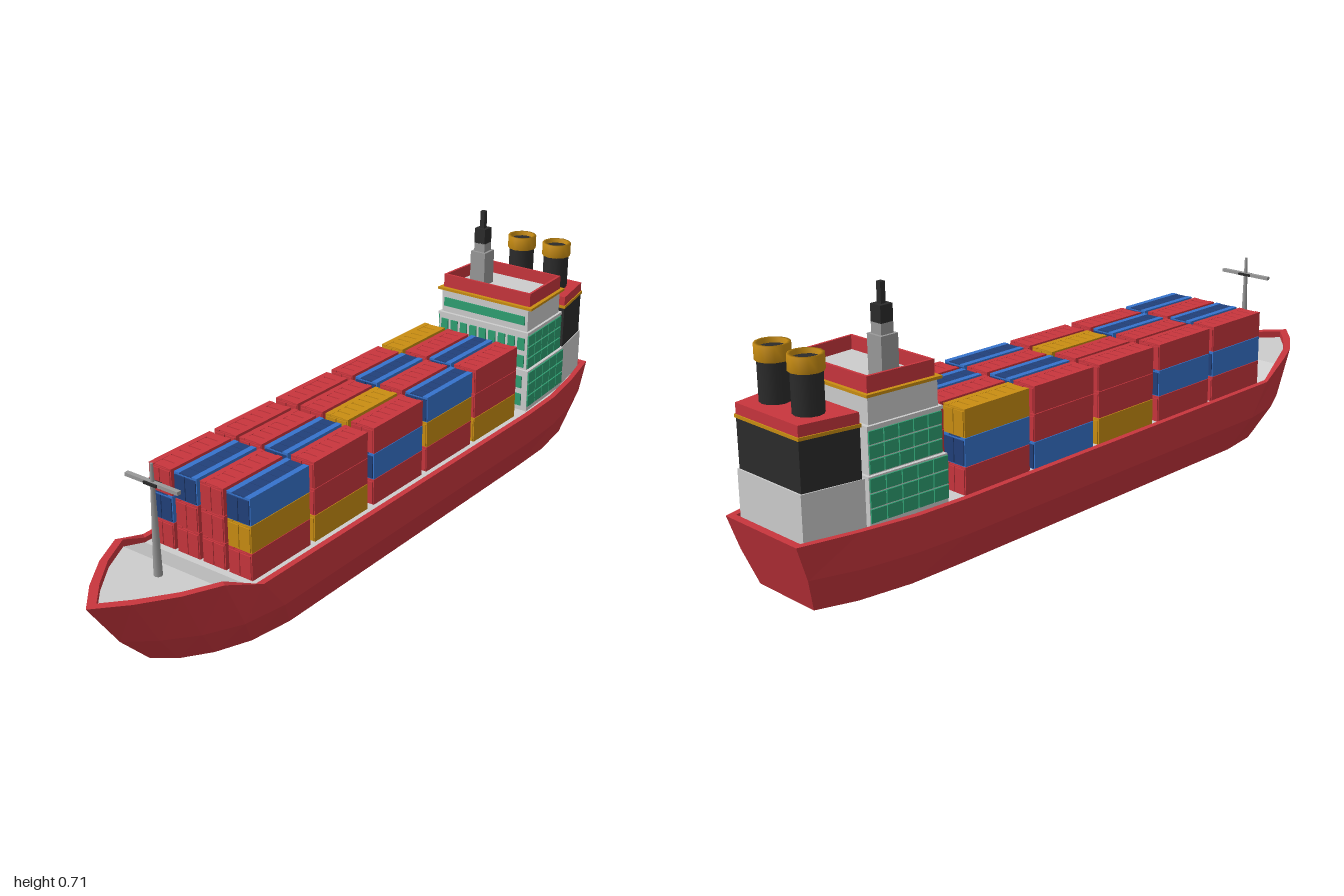
import * as THREE from 'three';

const mat = (name, color) => Object.assign(new THREE.MeshStandardMaterial({ color }), { name });
const red = mat('red', 0xc8353d), charcoal = mat('charcoal', 0x2b2b2b), amber = mat('amber', 0xc98d12);
const green = mat('green', 0x2ea072), white = mat('paleGrey', 0xcdcdcd), grey = mat('grey', 0x999999);
const blue = mat('blue', 0x3573cc), navy = mat('navy', 0x21407a);

function add(parent, name, geo, material, x = 0, y = 0, z = 0) {
  const m = new THREE.Mesh(geo, material);
  m.name = name;
  m.position.set(x, y, z);
  parent.add(m);
  return m;
}
const box = (p, name, m, w, h, d, x, y, z) => add(p, name, new THREE.BoxGeometry(w, h, d), m, x, y, z);

// Upright prism with a trapezoid plan: half widths at its front and back
function prism(p, name, m, wf, wb, zf, zb, y0, y1, wall = 0) {
  const plan = (C, t) => {
    const s = new C();
    s.moveTo(-wf + t, -zf + t); s.lineTo(wf - t, -zf + t);
    s.lineTo(wb - t, -zb - t); s.lineTo(-wb + t, -zb - t);
    s.closePath();
    return s;
  };
  const shape = plan(THREE.Shape, 0);
  if (wall) shape.holes.push(plan(THREE.Path, wall));
  const g = new THREE.ExtrudeGeometry(shape, { depth: y1 - y0, bevelEnabled: false });
  g.rotateX(-Math.PI / 2);
  return add(p, name, g, m, 0, y0, 0);
}

// Mirrors half stations [x, z, y] into a loop: left stern, bow, right stern
const loop = half => [...half, ...half.slice(0, -1).reverse().map(([x, z, y]) => [-x, z, y])]
  .map(([x, z, y]) => [x, y, z]);

function flatGeometry(tris) {
  const g = new THREE.BufferGeometry();
  g.setAttribute('position', new THREE.Float32BufferAttribute(tris.flat(), 3));
  g.computeVertexNormals();
  return g;
}

// Fills a mirrored loop from side to side
function cap(l, up) {
  const out = [], n = l.length;
  for (let i = 0; i < (n - 1) / 2; i++) {
    const a = l[i], b = l[n - 1 - i], c = l[n - 2 - i], d = l[i + 1];
    const quad = [a, b, d, b, c, d];
    out.push(...(up ? quad : quad.reverse()));
  }
  return out;
}

function buildHull(p) {
  const top = [[.13, -1], [.165, -.85], [.19, -.7], [.197, -.55], [.195, .63], [.175, .74], [.13, .835], [.068, .925], [0, 1]];
  const mid = [[.125, -.97], [.165, -.85], [.19, -.7], [.198, -.55], [.198, .56], [.178, .68], [.13, .775], [.068, .85], [0, .908]];
  const keel = [[.1, -.94], [.135, -.84], [.157, -.7], [.16, -.55], [.16, .5], [.142, .62], [.105, .71], [.055, .78], [0, .82]];
  const inner = [[.118, -.98], [.149, -.85], [.174, -.7], [.181, -.55], [.179, .64], [.159, .73], [.116, .82], [.056, .905], [0, .968]];
  const rimY = i => (i < 5 ? .18 : .222), deckY = i => (i < 5 ? .167 : .203);
  const levels = [
    keel.map(([x, z]) => [x, z, 0]),
    mid.map(([x, z]) => [x, z, .09]),
    top.map(([x, z], i) => [x, z, rimY(i)]),
    inner.map(([x, z], i) => [x, z, rimY(i)]),
    inner.map(([x, z], i) => [x, z, deckY(i)]),
  ].map(loop);
  const tris = cap(levels[0], false);
  for (let k = 0; k < levels.length - 1; k++) {
    const lo = levels[k], hi = levels[k + 1], n = lo.length;
    for (let i = 0; i < n; i++) {
      const j = (i + 1) % n;
      tris.push(lo[i], hi[i], lo[j], lo[j], hi[i], hi[j]);
    }
  }
  add(p, 'hull', flatGeometry(tris), red);
  add(p, 'deck', flatGeometry(cap(levels[4], true)), white);
}

// One container with roof ribs and a pair of door leaves on each end
function buildContainer(p, m, x, y, z) {
  const g = new THREE.Group();
  g.name = 'container';
  g.position.set(x, y, z);
  p.add(g);
  const end = m === blue ? navy : m;
  box(g, 'containerBody', m, .072, .068, .214, 0, 0, 0);
  for (const s of [-1, 1]) {
    for (const e of [-1, 1]) box(g, 'doorLeaf', end, .032, .062, .003, s * .0172, 0, e * .1085);
    box(g, 'roofRail', m, .016, .003, .214, s * .028, .0355, 0);
  }
  for (let i = 0; i < 7; i++) box(g, 'roofRib', end, .04, .003, .026, 0, .0352, (i - 3) * .0305);
  if (m === blue) box(g, 'roofStripe', navy, .04, .002, .212, 0, .0347, 0);
}

function buildCargo(p) {
  const colours = { R: red, B: blue, Y: amber };
  // Bays run from stern to bow; each lists its bottom, middle and top rows
  const bays = [
    [-.425, ['RRRY', 'BRRR', 'YRBR']],
    [-.193, ['BRRR', 'RRBY', 'RBRB']],
    [.043, ['YRRR', 'RBRB', 'RRYR']],
    [.283, ['RRRY', 'BRRR', 'RRBR']],
    [.516, ['RRRR', 'BRRY', 'RBRB']],
  ];
  for (const [z, rows] of bays)
    rows.forEach((row, k) => [...row].forEach((c, i) =>
      buildContainer(p, colours[c], -.129 + i * .0825, .203 + k * .0725, z)));
}

// Rows of windows along both tapering sides of a house tier
function sideWindows(p, wf, wb, zf, zb, y0, y1) {
  const cols = 5, rows = 3, len = Math.hypot(wf - wb, zf - zb), h = (y1 - y0) / rows;
  const turn = Math.atan2(wf - wb, zf - zb);
  for (const s of [-1, 1]) for (let i = 0; i < cols; i++) for (let r = 0; r < rows; r++) {
    const t = (i + .5) / cols;
    const w = box(p, 'sideWindow', green, .008, h - .004, len / cols - .003,
      s * (wf + (wb - wf) * t), y0 + (r + .5) * h, zf + (zb - zf) * t);
    w.rotation.y = s * turn;
  }
}

function buildBridge(p) {
  prism(p, 'lowerHouse', white, .162, .148, -.585, -.808, .16, .292);
  prism(p, 'upperHouse', white, .152, .14, -.592, -.8, .292, .4);
  prism(p, 'bridgeFloor', white, .155, .143, -.588, -.803, .4, .408);
  prism(p, 'wheelhouse', white, .147, .136, -.597, -.793, .408, .475);
  prism(p, 'trimBand', amber, .16, .146, -.592, -.803, .475, .482);
  prism(p, 'roofDeck', white, .142, .13, -.61, -.788, .482, .486);
  prism(p, 'roofParapet', red, .147, .136, -.604, -.793, .482, .521, .007);
  sideWindows(p, .162, .148, -.585, -.808, .18, .29);
  sideWindows(p, .152, .14, -.592, -.8, .294, .398);
  // Front windows
  [.2, .255, .317, .37].forEach((y, r) => {
    for (let i = 0; i < 9; i++)
      box(p, 'frontWindow', green, .023, .036, .006, (i - 4) * .033, y, r < 2 ? -.584 : -.591);
  });
  box(p, 'bridgeWindow', green, .276, .026, .006, 0, .44, -.596);
  // Radar mast
  box(p, 'mastBase', grey, .049, .102, .05, -.072, .535, -.69);
  box(p, 'mastColumn', grey, .035, .03, .036, -.072, .598, -.69);
  box(p, 'mastHead', charcoal, .035, .044, .036, -.072, .633, -.69);
  box(p, 'mastAntenna', charcoal, .014, .052, .014, -.072, .68, -.69);
}

function buildFunnels(p) {
  prism(p, 'engineHouse', white, .143, .116, -.815, -.97, .16, .29);
  prism(p, 'engineCasing', charcoal, .14, .113, -.82, -.966, .29, .412);
  prism(p, 'casingTrim', amber, .143, .116, -.817, -.969, .412, .42);
  prism(p, 'casingTop', red, .14, .113, -.82, -.966, .42, .447);
  const ring = [[.034, .545], [.042, .545], [.042, .583], [.034, .583], [.034, .545]]
    .map(([r, y]) => new THREE.Vector2(r, y));
  for (const s of [-1, 1]) {
    add(p, 'funnel', new THREE.CylinderGeometry(.037, .037, .126, 12), charcoal, s * .06, .508, -.895);
    add(p, 'funnelCap', new THREE.LatheGeometry(ring, 12), amber, s * .06, 0, -.895);
  }
}

function buildForemast(p) {
  add(p, 'foremast', new THREE.CylinderGeometry(.004, .011, .29, 8), grey, 0, .346, .775);
  box(p, 'crossbar', grey, .164, .009, .012, 0, .441, .775);
  box(p, 'mastLamp', charcoal, .04, .007, .02, 0, .441, .775);
}

export function createModel() {
  const ship = new THREE.Group();
  ship.name = 'containerShip';
  const parts = { hullGroup: buildHull, cargo: buildCargo, bridge: buildBridge, funnels: buildFunnels, foremastGroup: buildForemast };
  for (const [name, build] of Object.entries(parts)) {
    const g = new THREE.Group();
    g.name = name;
    build(g);
    ship.add(g);
  }
  return ship;
}
